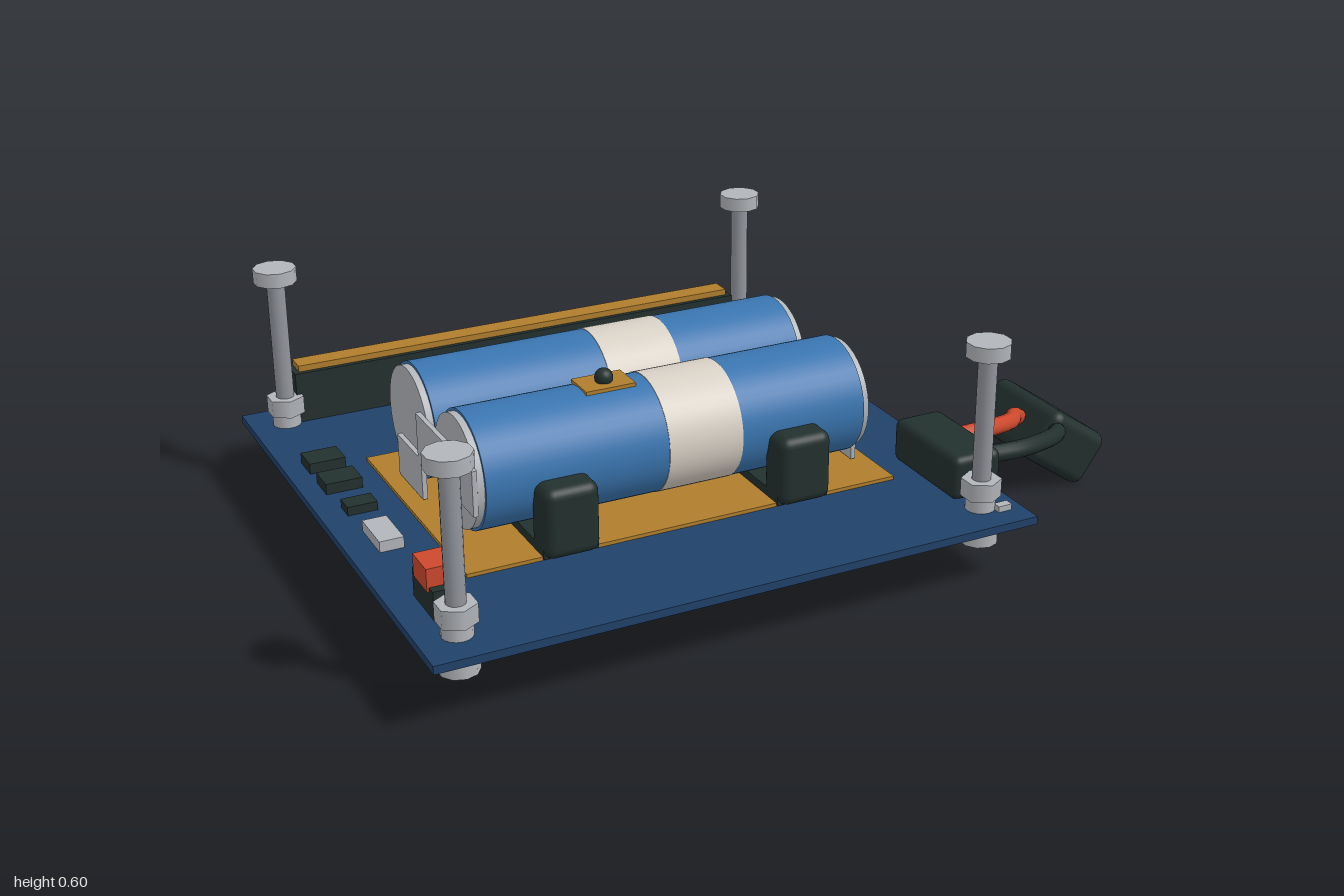
import * as THREE from 'three';
import { RoundedBoxGeometry } from 'three/addons/geometries/RoundedBoxGeometry.js';

const mat = (name, color) => {
  const m = new THREE.MeshStandardMaterial({ color });
  m.name = name;
  return m;
};

export function createModel() {
  const root = new THREE.Group();
  root.name = 'batteryBoard';
  const boardBlue = mat('boardBlue', 0x21416a);
  const cellBlue = mat('cellBlue', 0x3a75b0);
  const dark = mat('darkPlastic', 0x22302e);
  const gold = mat('gold', 0xb07e2c);
  const silver = mat('silver', 0xb2b5ba);
  const steel = mat('steel', 0x92959c);
  const cream = mat('cream', 0xd8d0c5);
  const red = mat('red', 0xcc482d);

  const add = (name, geo, m, x = 0, y = 0, z = 0, parent = root) => {
    const mesh = new THREE.Mesh(geo, m);
    mesh.name = name;
    mesh.position.set(x, y, z);
    parent.add(mesh);
    return mesh;
  };
  // Box given by its limits; r > 0 rounds the edges
  const box = (name, m, [x0, x1], [y0, y1], [z0, z1], r = 0) => {
    const s = [x1 - x0, y1 - y0, z1 - z0];
    const geo = r ? new RoundedBoxGeometry(...s, 3, r) : new THREE.BoxGeometry(...s);
    return add(name, geo, m, (x0 + x1) / 2, (y0 + y1) / 2, (z0 + z1) / 2);
  };

  // Circuit board and gold pad under the cells
  box('board', boardBlue, [-1, 0.5], [0.155, 0.175], [-0.71, 0.71]);
  box('cellPad', gold, [-0.8, 0.305], [0.175, 0.184], [-0.3, 0.385]);

  // Two cells lying along x, facing opposite ways
  const rod = (r, len, n = 40) => new THREE.CylinderGeometry(r, r, len, n).rotateZ(Math.PI / 2);
  for (const [z, dir] of [[0.205, -1], [-0.105, 1]]) {
    const cell = new THREE.Group();
    cell.name = 'cell';
    cell.position.set(-0.247, 0.35, z);
    root.add(cell);
    add('cellWrap', rod(0.143, 0.97), cellBlue, 0, 0, 0, cell);
    add('cellBand', rod(0.1445, 0.19), cream, 0.062, 0, 0, cell);
    add('cellEnds', rod(0.136, 1.004), silver, 0, 0, 0, cell);
    add('cellTerminal', rod(0.06, 0.03), silver, dir * 0.504, 0, 0, cell);
  }

  // Stepped contact plates, one at each end, turned half round
  const step = new THREE.Shape([
    [-0.215, 0.19], [-0.05, 0.19], [-0.05, 0.295], [0.29, 0.295],
    [0.29, 0.407], [-0.07, 0.407], [-0.07, 0.295], [-0.215, 0.295],
  ].map(([u, v]) => new THREE.Vector2(u, v)));
  const plateGeo = new THREE.ExtrudeGeometry(step, { depth: 0.012, bevelEnabled: false });
  for (const s of [1, -1]) {
    const plate = add('contactPlate', plateGeo, silver, -0.247 + s * 0.502, 0, 0.05);
    plate.rotation.y = s * Math.PI / 2;
  }

  // Cell holders: base, middle post and rounded outer posts
  for (const x of [-0.55, 0.048]) {
    const w = [x - 0.068, x + 0.068];
    box('holderBase', dark, w, [0.178, 0.206], [-0.3, 0.39]);
    box('holderMiddle', dark, w, [0.178, 0.295], [0, 0.1]);
    box('holderFront', dark, w, [0.178, 0.352], [0.315, 0.412], 0.025);
    box('holderBack', dark, w, [0.178, 0.352], [-0.322, -0.225], 0.025);
  }

  // Sensor on the front cell
  box('sensorPad', gold, [-0.44, -0.315], [0.488, 0.497], [0.155, 0.243]);
  add('sensorBead', new THREE.SphereGeometry(0.022, 20, 14), dark, -0.377, 0.507, 0.2);

  // Pin header along the back
  box('headerBody', dark, [-0.88, 0.378], [0.175, 0.308], [-0.69, -0.602]);
  box('headerStrip', gold, [-0.866, 0.365], [0.308, 0.324], [-0.67, -0.615]);

  // Corner bolts, each a stack of [name, radius, bottom, top, sides, material]
  const stack = [
    ['boltHead', 0.054, 0.563, 0.6, 10, silver],
    ['boltShaft', 0.023, 0.15, 0.565, 16, steel],
    ['boltNut', 0.048, 0.207, 0.252, 6, silver],
    ['boltWasher', 0.036, 0.175, 0.207, 16, silver],
    ['boltFoot', 0.047, 0.09, 0.155, 10, silver],
  ];
  for (const x of [-0.908, 0.406]) for (const z of [-0.612, 0.608]) {
    const bolt = new THREE.Group();
    bolt.name = 'bolt';
    bolt.position.set(x, 0, z);
    root.add(bolt);
    for (const [name, r, y0, y1, n, m] of stack)
      add(name, new THREE.CylinderGeometry(r, r, y1 - y0, n), m, 0, (y0 + y1) / 2, 0, bolt);
  }

  // Small parts soldered to the board
  const chips = [
    [dark, [-0.948, -0.857], 0.202, [-0.362, -0.288]],
    [dark, [-0.948, -0.857], 0.202, [-0.235, -0.16]],
    [dark, [-0.938, -0.864], 0.197, [-0.08, -0.028]],
    [silver, [-0.932, -0.873], 0.202, [0.06, 0.182]],
    [dark, [0.33, 0.455], 0.202, [-0.432, -0.278]],
    [dark, [0.346, 0.44], 0.197, [-0.17, -0.095]],
    [silver, [0.34, 0.376], 0.19, [-0.004, 0.022]],
    [silver, [0.406, 0.445], 0.19, [-0.004, 0.022]],
    [silver, [0.43, 0.466], 0.19, [0.63, 0.652]],
  ];
  for (const [m, xs, top, zs] of chips) box('chip', m, xs, [0.175, top], zs);
  box('switchBase', dark, [-0.932, -0.868], [0.175, 0.245], [0.405, 0.535]);
  box('switchCap', red, [-0.937, -0.864], [0.235, 0.29], [0.428, 0.512]);

  // Board connector, cable and loose plug
  box('connector', dark, [0.362, 0.496], [0.176, 0.288], [0.286, 0.562], 0.02);
  const wire = (name, m, pts) => add(name, new THREE.TubeGeometry(
    new THREE.CatmullRomCurve3(pts.map((p) => new THREE.Vector3(...p))), 32, 0.022, 12), m);
  wire('redWire', red, [[0.47, 0.24, 0.36], [0.58, 0.24, 0.357], [0.7, 0.215, 0.3],
    [0.77, 0.187, 0.225], [0.85, 0.13, 0.17]]);
  wire('darkWire', dark, [[0.47, 0.245, 0.49], [0.6, 0.24, 0.492], [0.73, 0.218, 0.435],
    [0.81, 0.187, 0.355], [0.86, 0.13, 0.26]]);
  const plug = add('plug', new RoundedBoxGeometry(0.2, 0.148, 0.285, 3, 0.028), dark,
    0.877, 0.109, 0.188);
  plug.rotation.z = -0.6;

  return root;
}
